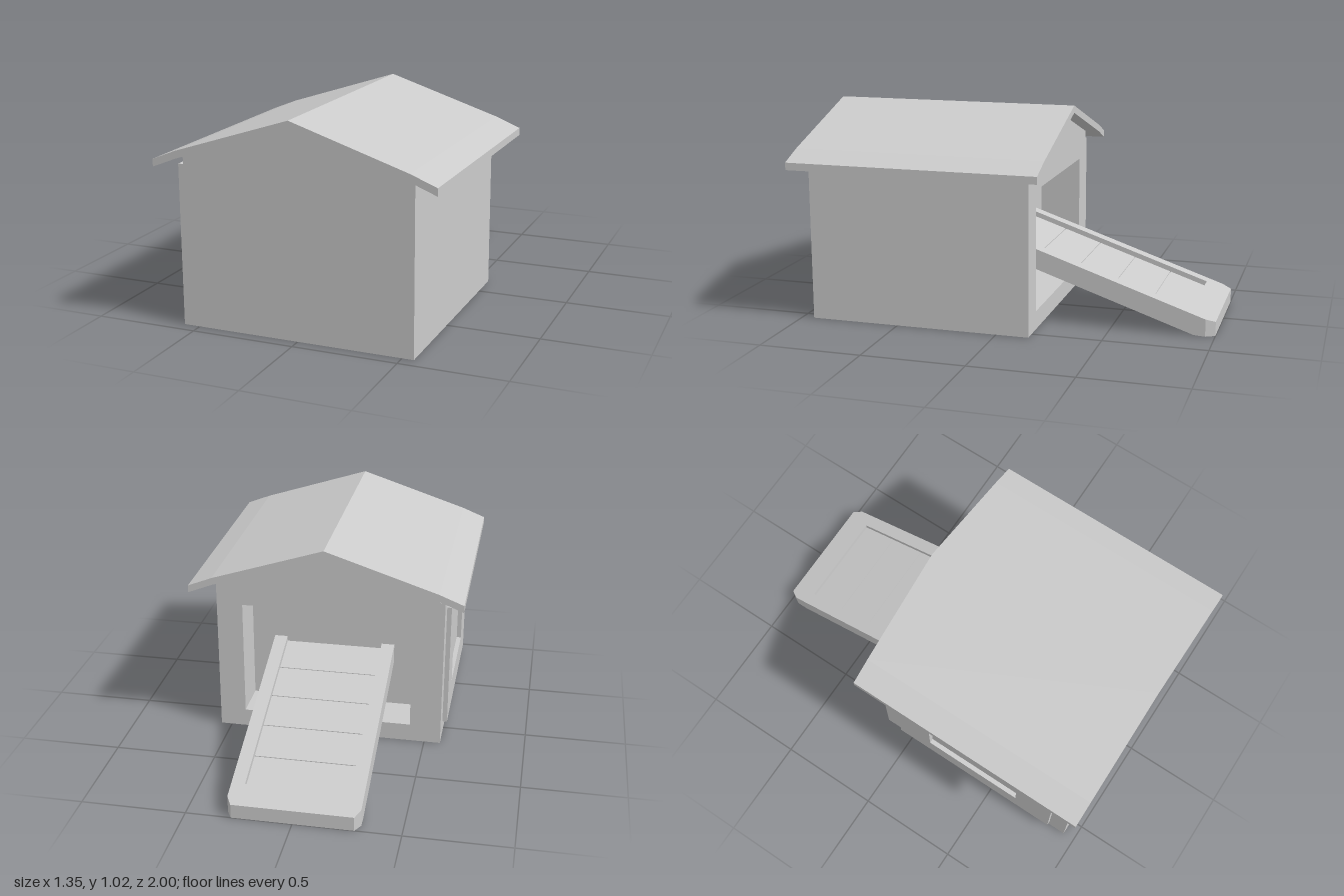
import * as THREE from 'three';

const material = new THREE.MeshStandardMaterial({ color: 0xcccccc, flatShading: true });

const polygon = (points) => new THREE.Shape(points.map(([x, y]) => new THREE.Vector2(x, y)));

const rectangle = (x0, y0, x1, y1) => polygon([[x0, y0], [x1, y0], [x1, y1], [x0, y1]]);

const extrude = (shape, depth) => new THREE.ExtrudeGeometry(shape, { depth, bevelEnabled: false });

function add(parent, name, geometry, x = 0, y = 0, z = 0) {
  const mesh = new THREE.Mesh(geometry, material);
  mesh.name = name;
  mesh.position.set(x, y, z);
  parent.add(mesh);
  return mesh;
}

// Top of the ramp at a given depth
const rampTop = (z) => 0.355 + 0.34 * (z + 0.16);

// Slanted slab from a plan outline of [x, z] points, lying between two drops below the ramp top
function slantedSlab(plan, upper, lower) {
  const geometry = extrude(polygon(plan.map(([x, z]) => [x, -z])), 1);
  const p = geometry.attributes.position;
  for (let i = 0; i < p.count; i++) {
    const z = -p.getY(i);
    const drop = p.getZ(i) > 0.5 ? upper : lower;
    p.setXYZ(i, p.getX(i), Math.max(0, rampTop(z) - drop), z);
  }
  geometry.computeVertexNormals();
  return geometry;
}

export function createModel() {
  const model = new THREE.Group();
  model.name = 'smallHouse';

  // House body with a gable, and a rear wall with a deep doorway
  const gable = () => polygon([[-0.555, 0], [0.555, 0], [0.555, 0.81], [0, 0.99], [-0.555, 0.81]]);
  add(model, 'houseBody', extrude(gable(), 0.89), 0, 0, 0.05);
  const rear = gable();
  rear.holes.push(rectangle(-0.425, 0.09, 0.425, 0.68));
  add(model, 'doorwayWall', extrude(rear, 0.21), 0, 0, -0.16);

  // Roof with a flatter flare at the eaves
  const half = [[0.555, 0.845], [0.675, 0.797]];
  const top = [[-0.675, 0.797], [-0.555, 0.845], [0, 1.025], ...half];
  const under = top.map(([x, y]) => [x, y - 0.036]).reverse();
  add(model, 'roof', extrude(polygon([...top, ...under]), 1.235), 0, 0, -0.235);

  // Side cladding and the framed window panel on it
  add(model, 'sidePanel', new THREE.BoxGeometry(0.025, 0.77, 1.1), -0.5675, 0.385, 0.39);
  const frame = rectangle(-0.06, 0.07, 0.85, 0.705);
  frame.holes.push(rectangle(0.13, 0.21, 0.65, 0.57));
  const windowFrame = add(model, 'windowFrame', extrude(frame, 0.025), -0.578, 0, 0);
  windowFrame.rotation.y = -Math.PI / 2;
  // The turn maps shape x to +z and extrusion depth to -x

  // Ramp: raised rim around a sunken, planked floor
  const ramp = new THREE.Group();
  ramp.name = 'ramp';
  model.add(ramp);
  add(ramp, 'rampRim', slantedSlab([
    [0.31, 0.05], [0.31, -0.9], [0.31, -0.955], [0.285, -1], [-0.285, -1], [-0.31, -0.955],
    [-0.31, -0.9], [-0.31, 0.05], [-0.245, 0.05], [-0.245, -0.88], [0.245, -0.88], [0.245, 0.05],
  ], 0, 0.1));
  const strip = (z0, z1) => [[-0.245, z0], [0.245, z0], [0.245, z1], [-0.245, z1]];
  add(ramp, 'rampFloor', slantedSlab(strip(0.05, -0.88), 0.031, 0.1));
  const planks = 5;
  const step = 0.93 / planks;
  for (let i = 0; i < planks; i++) {
    const z = 0.05 - i * step;
    add(ramp, 'rampPlank', slantedSlab(strip(z, z - step + 0.004), 0.026, 0.04));
  }

  return model;
}
